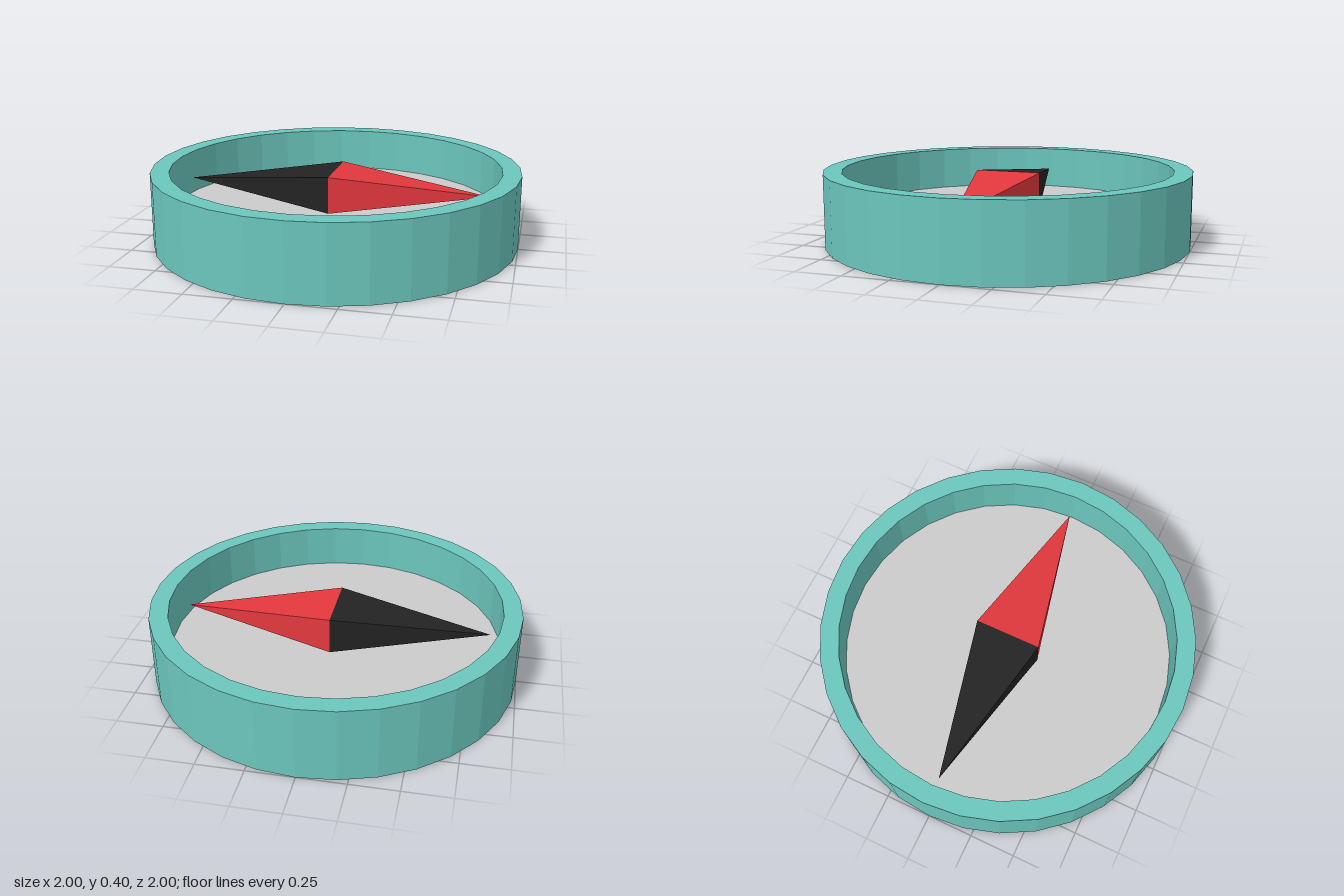
import * as THREE from 'three';

const SIDES = 32;
const FLOOR_Y = 0.16;

function makeMesh(name, geometry, color) {
  const material = new THREE.MeshStandardMaterial({ color, flatShading: true });
  const mesh = new THREE.Mesh(geometry, material);
  mesh.name = name;
  return mesh;
}

// Four-sided pyramid pointing along +x (dir = 1) or -x (dir = -1)
function needleHalf(name, dir, color) {
  const length = 0.84, width = 0.36, height = 0.2;
  const geometry = new THREE.ConeGeometry(Math.SQRT1_2, 1, 4, 1, true);
  geometry.rotateY(Math.PI / 4);
  geometry.translate(0, 0.5, 0);
  geometry.scale(height, length, width);
  geometry.rotateZ(-dir * Math.PI / 2);
  return makeMesh(name, geometry, color);
}

export function createModel() {
  const model = new THREE.Group();
  model.name = 'compass';

  // Round case: underside, outer wall, rim and inner wall
  const profile = [[0, 0], [1, 0], [1, 0.4], [0.9, 0.4], [0.9, FLOOR_Y]]
    .map(([r, y]) => new THREE.Vector2(r, y));
  model.add(makeMesh('case', new THREE.LatheGeometry(profile, SIDES), 0x6bc6bd));

  // Dial face inside the case
  const dial = new THREE.CircleGeometry(0.9, SIDES).rotateX(-Math.PI / 2);
  dial.translate(0, FLOOR_Y, 0);
  model.add(makeMesh('dial', dial, 0xcccccc));

  // Two-coloured needle floating just above the dial
  const needle = new THREE.Group();
  needle.name = 'needle';
  needle.position.y = 0.28;
  needle.add(needleHalf('redNeedleHalf', 1, 0xe3383d));
  needle.add(needleHalf('blackNeedleHalf', -1, 0x232323));
  model.add(needle);

  return model;
}
